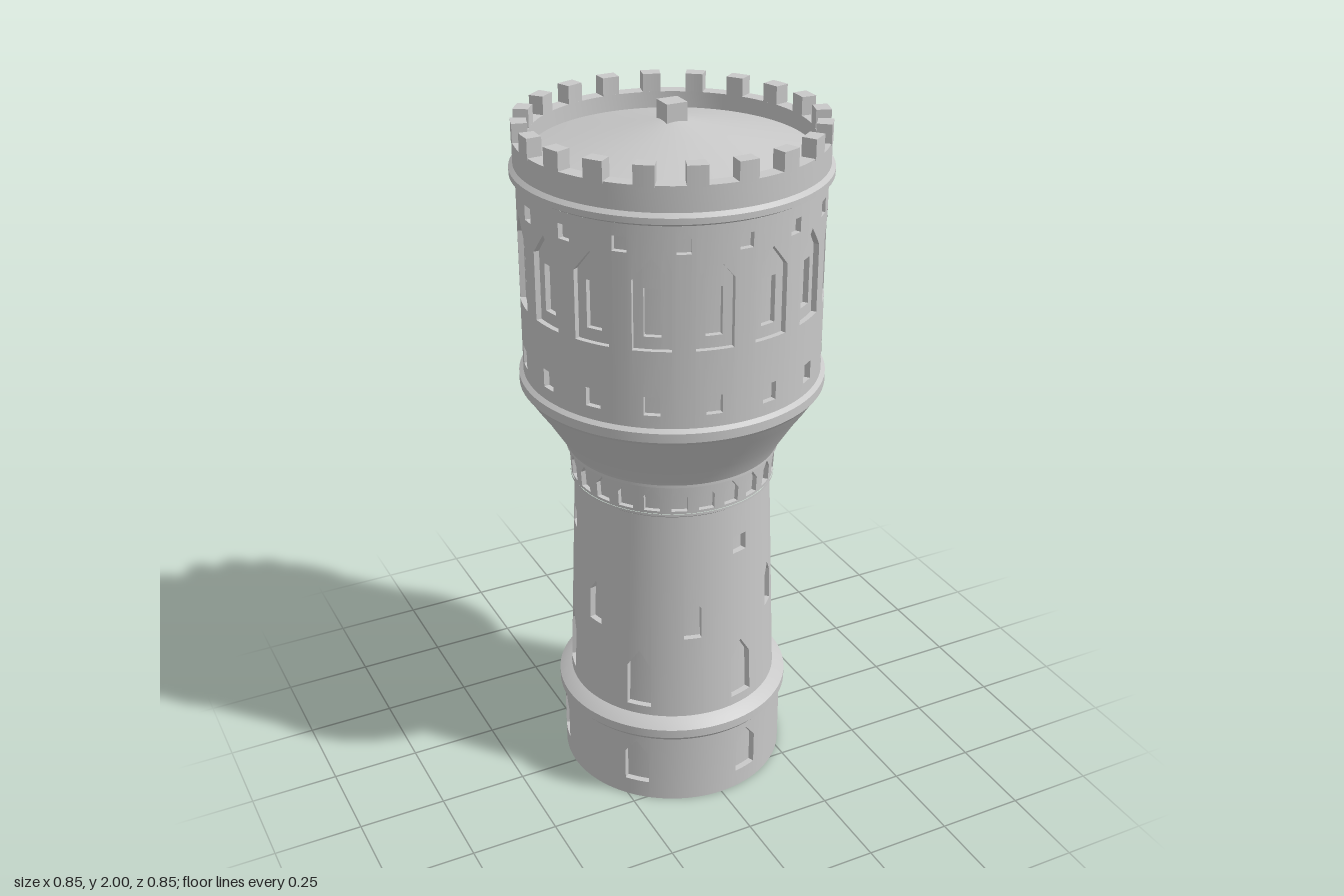
import * as THREE from 'three';
import { toCreasedNormals } from 'three/addons/utils/BufferGeometryUtils.js';

const SEGMENTS = 96;
const TAU = Math.PI * 2;
const rad = THREE.MathUtils.degToRad;

// Shortest signed angle from c to a
const delta = (a, c) => {
  const d = (((a - c) % TAU) + TAU) % TAU;
  return d > Math.PI ? d - TAU : d;
};

// Ring of equal openings; angles run from +z towards +x, tip is the height of the pointed head
function openings({ count, start, width, radius, y0, shoulder, tip = shoulder, depth, inner }) {
  const half = width / 2 / radius;
  return Array.from({ length: count }, (_, i) => {
    const centre = rad(start) + (i * TAU) / count;
    return {
      centre, half, depth,
      inner: inner ? [{ ...inner, centre, half: inner.width / 2 / radius }] : [],
      lo: () => y0,
      hi: (a) => shoulder + (tip - shoulder) * Math.max(0, 1 - Math.abs(delta(a, centre)) / half),
    };
  });
}

// Round, possibly tapered wall with recessed openings, built strip by strip
function recessedWall(y0, r0, y1, r1, windows) {
  const pos = [];
  const point = (a, y, d) => {
    const r = r0 + ((r1 - r0) * (y - y0)) / (y1 - y0) - d;
    return [r * Math.sin(a), y, r * Math.cos(a)];
  };
  const quad = (p, q, r, s) => pos.push(...p, ...q, ...r, ...p, ...r, ...s);

  const strip = (a, b, lo, hi, d, wins) => {
    const mid = (a + b) / 2;
    const face = (f, g) => quad(point(a, f(a), d), point(b, f(b), d), point(b, g(b), d), point(a, g(a), d));
    let from = lo;
    wins.filter((w) => Math.abs(delta(mid, w.centre)) < w.half)
      .sort((v, w) => v.lo(mid) - w.lo(mid))
      .forEach((w) => {
        const e = d + w.depth;
        face(from, w.lo);
        // Sill and head
        quad(point(a, w.lo(a), d), point(b, w.lo(b), d), point(b, w.lo(b), e), point(a, w.lo(a), e));
        quad(point(a, w.hi(a), e), point(b, w.hi(b), e), point(b, w.hi(b), d), point(a, w.hi(a), d));
        // Jambs
        if (Math.abs(delta(a, w.centre) + w.half) < 1e-5)
          quad(point(a, w.lo(a), d), point(a, w.lo(a), e), point(a, w.hi(a), e), point(a, w.hi(a), d));
        if (Math.abs(delta(b, w.centre) - w.half) < 1e-5)
          quad(point(b, w.lo(b), e), point(b, w.lo(b), d), point(b, w.hi(b), d), point(b, w.hi(b), e));
        strip(a, b, w.lo, w.hi, e, w.inner);
        from = w.hi;
      });
    face(from, hi);
  };

  // Strip edges: an even division plus every opening's sides and centre
  const edges = Array.from({ length: SEGMENTS + 1 }, (_, i) => (i * TAU) / SEGMENTS);
  for (const w of windows.flatMap((v) => [v, ...v.inner]))
    for (const k of [-1, 0, 1]) edges.push((((w.centre + k * w.half) % TAU) + TAU) % TAU);
  const sorted = edges.sort((a, b) => a - b).filter((a, i, all) => i === 0 || a - all[i - 1] > 1e-6);
  for (let i = 0; i < sorted.length - 1; i++)
    strip(sorted[i], sorted[i + 1], () => y0, () => y1, 0, windows);

  const geometry = new THREE.BufferGeometry();
  geometry.setAttribute('position', new THREE.Float32BufferAttribute(pos, 3));
  return toCreasedNormals(geometry, 0.3);
}

// Turned band from [radius, height] points
const turned = (points) =>
  toCreasedNormals(new THREE.LatheGeometry(points.map(([r, y]) => new THREE.Vector2(r, y)), SEGMENTS), 0.3);

export function createModel() {
  const tower = new THREE.Group();
  tower.name = 'waterTower';
  const stone = new THREE.MeshStandardMaterial({ color: 0xc8c8c8 });
  stone.name = 'stone';
  const add = (name, geometry, parent = tower) => {
    const mesh = new THREE.Mesh(geometry, stone);
    mesh.name = name;
    parent.add(mesh);
    return mesh;
  };

  // Base storey; one of its openings is the door above the step
  add('floor', turned([[0, 0], [0.325, 0]]));
  add('baseWall', recessedWall(0, 0.325, 0.217, 0.325,
    openings({ count: 6, start: 15, width: 0.072, radius: 0.325, y0: 0.055, shoulder: 0.155, tip: 0.2, depth: 0.018 })));
  add('baseMoulding', turned([[0.325, 0.217], [0.338, 0.232], [0.338, 0.258], [0.32, 0.272], [0.302, 0.282]]));

  const step = add('doorStep', new THREE.BoxGeometry(0.12, 0.03, 0.12));
  const doorAngle = rad(135);
  step.position.set(0.322 * Math.sin(doorAngle), 0.015, 0.322 * Math.cos(doorAngle));
  step.rotation.y = doorAngle;

  // Tapered shaft with three tiers of windows
  add('shaft', recessedWall(0.282, 0.302, 0.93, 0.277, [
    ...openings({ count: 6, start: 15, width: 0.072, radius: 0.298, y0: 0.31, shoulder: 0.44, tip: 0.495, depth: 0.018 }),
    ...openings({ count: 6, start: 45, width: 0.05, radius: 0.289, y0: 0.54, shoulder: 0.635, tip: 0.672, depth: 0.018 }),
    ...openings({ count: 3, start: 15, width: 0.048, radius: 0.282, y0: 0.783, shoulder: 0.835, depth: 0.018 }),
  ]));

  // Small arcade under the flare
  add('arcadeLip', turned([[0.277, 0.93], [0.288, 0.938], [0.288, 0.945]]));
  add('arcade', recessedWall(0.945, 0.286, 1.03, 0.291,
    openings({ count: 24, start: 7.5, width: 0.044, radius: 0.288, y0: 0.953, shoulder: 0.997, tip: 1.024, depth: 0.014 })));

  // Flare carrying the tank drum
  add('flare', turned([[0.291, 1.03], [0.298, 1.032], [0.298, 1.04], [0.311, 1.066], [0.332, 1.1],
    [0.358, 1.142], [0.388, 1.185], [0.412, 1.222]]));
  add('drumLowerRing', turned([[0.412, 1.222], [0.42, 1.232], [0.42, 1.258], [0.408, 1.267]]));

  // Drum with nested niches and two rows of small openings
  add('drum', recessedWall(1.267, 0.408, 1.813, 0.408, [
    ...openings({ count: 16, start: 11.25, width: 0.043, radius: 0.408, y0: 1.303, shoulder: 1.355, depth: 0.016 }),
    ...openings({
      count: 16, start: 11.25, width: 0.1, radius: 0.408, y0: 1.482, shoulder: 1.67, tip: 1.73, depth: 0.015,
      inner: { width: 0.046, depth: 0.015, lo: () => 1.515, hi: () => 1.645, inner: [] },
    }),
    ...openings({ count: 16, start: 0, width: 0.038, radius: 0.408, y0: 1.74, shoulder: 1.78, depth: 0.016 }),
  ]));
  add('drumUpperRing', turned([[0.408, 1.813], [0.424, 1.822], [0.424, 1.838], [0.413, 1.848]]));

  // Parapet and shallow conical roof
  add('parapet', turned([[0.413, 1.848], [0.413, 1.915], [0.373, 1.915], [0.373, 1.87]]));
  add('roof', turned([[0.373, 1.87], [0, 1.96]]));

  // Battlements
  const half = rad(3.7);
  const outline = new THREE.Shape();
  outline.absarc(0, 0, 0.414, -half, half, false);
  outline.absarc(0, 0, 0.373, half, -half, true);
  const merlon = new THREE.ExtrudeGeometry(outline, { depth: 0.055, bevelEnabled: false, curveSegments: 3 });
  merlon.rotateX(-Math.PI / 2);
  const battlements = new THREE.Group();
  battlements.name = 'battlements';
  tower.add(battlements);
  for (let i = 0; i < 20; i++) {
    const block = add('merlon', merlon, battlements);
    block.position.y = 1.91;
    block.rotation.y = (i * TAU) / 20;
  }

  // Block on the roof's peak
  add('finial', new THREE.BoxGeometry(0.059, 0.06, 0.059)).position.y = 1.97;
  return tower;
}
